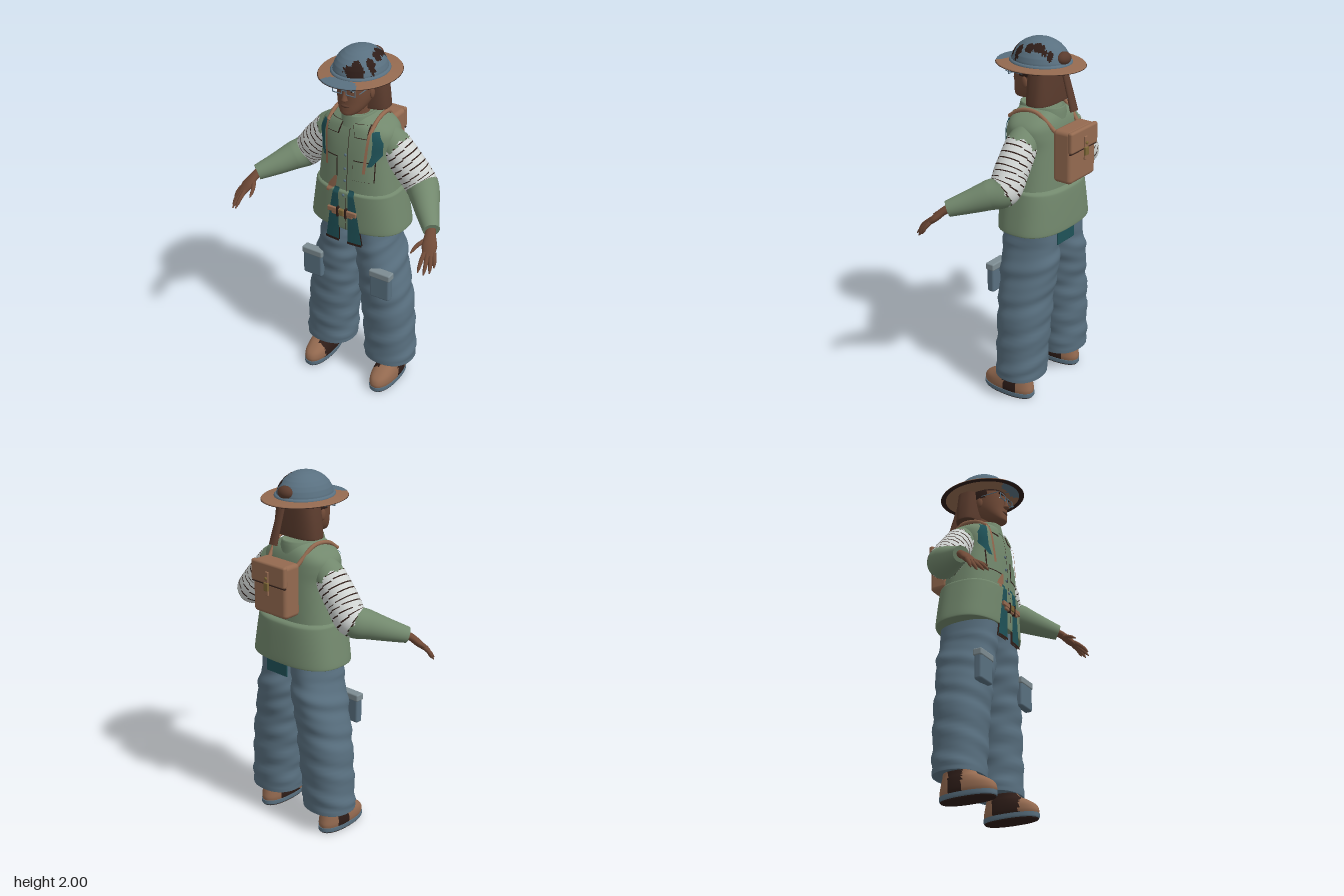
import * as THREE from 'three';
import { RoundedBoxGeometry } from 'three/addons/geometries/RoundedBoxGeometry.js';

const V = (x, y, z) => new THREE.Vector3(x, y, z);
const mat = (name, color) => {
  const m = new THREE.MeshStandardMaterial({ color });
  m.name = name;
  return m;
};
const green = mat('sage cloth', 0x72886d), blue = mat('slate blue', 0x597080), leather = mat('tan leather', 0x946a50),
  dark = mat('dark brown', 0x2e1d18), teal = mat('teal lining', 0x1f5258), white = mat('bandage white', 0xd2d6d4),
  skin = mat('skin', 0x704a37), hairMat = mat('hair brown', 0x5a3b2d), grey = mat('grey blue', 0x7d8c92), brass = mat('brass', 0x7d6636);

const spline = (a, b, c, d, t) => b + 0.5 * t * (c - a + t * (2 * a - 5 * b + 4 * c - d + t * (3 * (b - c) + d - a)));

// Refine a short list of keys into many rows
function refine(keys, steps, straight) {
  const rows = [], k = i => keys[Math.max(0, Math.min(keys.length - 1, i))];
  for (let i = 0; i < keys.length - 1; i++)
    for (let s = 0; s < steps; s++) {
      const t = s / steps;
      rows.push(k(i).map((v, c) => straight ? v + (k(i + 1)[c] - v) * t : spline(k(i - 1)[c], v, k(i + 1)[c], k(i + 2)[c], t)));
    }
  rows.push(k(keys.length - 1).slice());
  return rows;
}

// Horizontal rings from rows of [y, cx, cz, rx, rz], squared off by n
function rings(rows, n = 2, seg = 48, bump = () => 0) {
  const p = v => Math.sign(v) * Math.abs(v) ** (2 / n);
  return rows.map(([y, cx, cz, rx, rz]) => Array.from({ length: seg }, (_, i) => {
    const a = i / seg * Math.PI * 2, b = bump(a, y);
    return V(cx + (rx + b) * p(Math.cos(a)), y, cz + (rz + b) * p(Math.sin(a)));
  }));
}

// Rings swept along a path, with radii of [wide, thick]
function sweep(pts, radii, count, seg) {
  const curve = new THREE.CatmullRomCurve3(pts), out = [];
  for (let j = 0; j <= count; j++) {
    const t = j / count, c = curve.getPoint(t), T = curve.getTangent(t);
    const e1 = V().crossVectors(T, V(0, 1, 0)).normalize(), e2 = V().crossVectors(e1, T);
    const f = t * (radii.length - 1), i = Math.min(radii.length - 2, Math.floor(f));
    const r = radii[i].map((v, q) => v + (radii[i + 1][q] - v) * (f - i));
    out.push(Array.from({ length: seg }, (_, s) => {
      const a = s / seg * Math.PI * 2;
      return c.clone().addScaledVector(e1, r[0] * Math.cos(a)).addScaledVector(e2, r[1] * Math.sin(a));
    }));
  }
  return out;
}

// Skin closed rings; pick(point, row, column) chooses a material slot
function loft(rs, pick) {
  const n = rs[0].length, verts = rs.flat(), slots = [];
  const add = (s, ...t) => (slots[s] ??= []).push(...t);
  for (let j = 0; j < rs.length - 1; j++)
    for (let i = 0; i < n; i++) {
      const a = j * n + i, b = j * n + (i + 1) % n;
      const mid = verts[a].clone().add(verts[b + n]).multiplyScalar(0.5);
      add(pick ? pick(mid, j, i) : 0, a, a + n, b, b, a + n, b + n);
    }
  for (const last of [false, true]) {
    const ring = rs[last ? rs.length - 1 : 0], base = verts.length;
    const c = ring.reduce((s, p) => s.add(p), V()).divideScalar(n);
    verts.push(...ring, c);
    for (let i = 0; i < n; i++) {
      const a = base + i, b = base + (i + 1) % n;
      add(0, ...(last ? [a, base + n, b] : [a, b, base + n]));
    }
  }
  const g = new THREE.BufferGeometry().setFromPoints(verts);
  g.setIndex(slots.flat());
  let start = 0;
  if (pick) slots.forEach((s, i) => { g.addGroup(start, s.length, i); start += s.length; });
  g.computeVertexNormals();
  return g;
}

function mirrored(geo) {
  const g = geo.clone().scale(-1, 1, 1);
  const ix = g.index ? Array.from(g.index.array) : Array.from({ length: g.attributes.position.count }, (_, i) => i);
  for (let i = 0; i < ix.length; i += 3) [ix[i], ix[i + 1]] = [ix[i + 1], ix[i]];
  g.setIndex(ix);
  return g;
}

const torsoRows = refine([[1.18, 0, -.045, .235, .165], [1.35, 0, -.045, .215, .158], [1.45, 0, -.046, .205, .153], [1.52, 0, -.048, .213, .146],
  [1.57, 0, -.05, .205, .138], [1.61, 0, -.05, .16, .125], [1.645, 0, -.05, .08, .1]], 6);
const skirtRows = refine([[1.0, 0, -.057, .272, .18], [1.005, 0, -.057, .28, .187], [1.1, 0, -.055, .265, .186], [1.2, 0, -.052, .248, .183],
  [1.225, 0, -.05, .242, .178], [1.235, 0, -.05, .225, .16]], 5);

// Depth of the jacket's front at (x, y)
function frontZ(x, y) {
  let best = -.05;
  for (const rows of [torsoRows, skirtRows]) {
    const yy = rows === skirtRows ? Math.max(y, 1.005) : y;
    const i = rows.findIndex((r, q) => q > 0 && r[0] >= yy && rows[q - 1][0] <= yy);
    if (i < 0) continue;
    const t = (yy - rows[i - 1][0]) / (rows[i][0] - rows[i - 1][0] || 1);
    const [, , cz, rx, rz] = rows[i].map((v, c) => rows[i - 1][c] + (v - rows[i - 1][c]) * t);
    best = Math.max(best, cz + rz * Math.max(0, 1 - Math.abs(x / rx) ** 2.6) ** (1 / 2.6));
  }
  return best;
}

// Thin cloth strip lying on the jacket front: keys of [x, y, width]
function strip(keys, lift = .005) {
  const rows = refine(keys, 10, true), pos = [], ix = [], m = 6;
  rows.forEach(([x, y, w], j) => {
    for (let i = 0; i <= m; i++) {
      const px = x + w * (i / m - .5);
      pos.push(px, y, frontZ(px, y) + lift);
      if (j && i) { const d = j * (m + 1) + i, b = d - m - 1; ix.push(b - 1, d - 1, b, b, d - 1, d); }
    }
  });
  if (rows[0][1] < rows[rows.length - 1][1]) ix.reverse();
  const g = new THREE.BufferGeometry().setAttribute('position', new THREE.Float32BufferAttribute(pos, 3));
  g.setIndex(ix);
  g.computeVertexNormals();
  return g;
}
const box = (w, h, d, x, y, z, r = .01) => new RoundedBoxGeometry(w, h, d, 3, r).translate(x, y, z);
const ball = (x, y, z, a, b, c) => new THREE.SphereGeometry(1, 24, 16).scale(a, b, c).translate(x, y, z);

export function createModel() {
  const model = new THREE.Group();
  const put = (name, geo, m) => { const o = new THREE.Mesh(geo, m); o.name = name; model.add(o); return o; };
  const pair = (name, geo, m) => { put(name + 'Left', geo, m); put(name + 'Right', mirrored(geo), m); };

  // Jacket
  put('jacketBody', loft(rings(torsoRows, 2.6, 64)), green);
  put('jacketSkirt', loft(rings(skirtRows, 2.6, 64)), green);
  put('collar', loft(rings(refine([[1.59, 0, -.048, .1, .135], [1.63, 0, -.05, .09, .13], [1.655, 0, -.05, .082, .125], [1.65, 0, -.05, .07, .11]], 3, true), 2.3)), green);
  pair('chestPocketSeam', strip([[.105, 1.423, .116], [.105, 1.307, .116]], .003), dark);
  pair('chestPocket', strip([[.105, 1.42, .11], [.105, 1.31, .11]], .007), green);
  pair('lapelEdge', strip([[.075, 1.618, .09], [.085, 1.548, .075]], .005), dark);
  pair('lapel', strip([[.075, 1.618, .082], [.085, 1.554, .066]], .01), green);
  pair('tealHarness', strip([[.15, 1.59, .03], [.168, 1.53, .045], [.165, 1.46, .045], [.135, 1.4, .02]], .007), teal);
  pair('chestStrap', strip([[.13, 1.6, .014], [.122, 1.5, .013], [.112, 1.36, .016]], .013), leather);
  pair('shoulderStrap', new THREE.TubeGeometry(new THREE.CatmullRomCurve3([V(.13, 1.59, .07), V(.13, 1.635, .0), V(.125, 1.64, -.1), V(.1, 1.55, -.2)]), 24, .011, 8), leather);
  for (const y of [1.44, 1.36, 1.29, 1.21]) put('button', ball(0, y, frontZ(0, y) + .003, .008, .008, .005), blue);
  put('jacketPlacket', strip([[.014, 1.6, .003], [.014, 1.0, .003]], .003), dark);
  put('tornTag', strip([[-.05, 1.31, .015], [-.075, 1.25, .05], [-.1, 1.21, .015]], .01), leather);

  // Lining flaps and belt
  pair('liningFlap', strip([[.045, 1.245, .03], [.055, 1.12, .055], [.07, .92, .085]], .006), teal);
  pair('liningFlapBack', mirrored(strip([[.045, 1.24, .03], [.07, .92, .085]], -.004)).scale(1, 1, 1).rotateY(0), dark);
  pair('liningHem', strip([[.069, .932, .088], [.07, .918, .088]], .009), dark);
  put('rearLining', box(.15, .1, .008, .03, .97, -.222, .003), teal);
  put('belt', box(.18, .028, .016, 0, 1.115, .146, .005), leather);
  put('beltLower', box(.13, .02, .014, 0, 1.096, .144, .005), leather);
  pair('beltLoop', box(.012, .06, .02, .025, 1.11, .147, .004), dark);
  put('buckle', box(.03, .034, .02, 0, 1.112, .149, .004), brass);

  // Sleeves with wrapped bandages
  const rows = 130, seg = 48;
  const sleeve = sweep([V(.14, 1.535, -.06), V(.2, 1.475, -.06), V(.29, 1.37, -.065), V(.36, 1.285, -.065), V(.41, 1.26, -.01), V(.47, 1.227, .065), V(.545, 1.19, .155)],
    [[.07, .07], [.086, .088], [.09, .09], [.088, .088], [.078, .078], [.062, .062], [.043, .043]], rows, seg);
  const wrap = (p, j, i) => {
    const a = i / seg * Math.PI * 2, t = j / rows + .012 * Math.sin(a);
    const rag = .012 * Math.sin(5 * a) + .01 * Math.sin(11 * a + 1);
    if (t < .17 + rag || t > .51 + rag * .6) return 0;
    return (t * 1000) % 42 < 7 ? 2 : 1;
  };
  pair('sleeve', loft(sleeve, wrap), [green, white, dark]);

  // Hands
  pair('palm', loft(sweep([V(.535, 1.2, .14), V(.553, 1.17, .18), V(.57, 1.135, .215), V(.583, 1.1, .25)], [[.024, .022], [.03, .02], [.04, .02], [.03, .013]], 14, 20)), skin);
  for (const [k, m, t] of [[[.562, 1.115, .25], [.566, 1.08, .295], [.57, 1.04, .33]], [[.577, 1.11, .247], [.59, 1.07, .285], [.598, 1.03, .32]],
    [[.592, 1.11, .238], [.608, 1.07, .268], [.617, 1.03, .293]], [[.603, 1.115, .225], [.618, 1.085, .246], [.626, 1.05, .262]], [[.54, 1.155, .195], [.514, 1.135, .24], [.502, 1.11, .287]]])
    pair('finger', loft(sweep([V(...k), V(...m), V(...t)], [[.012, .012], [.012, .011], [.011, .01], [.009, .009], [.003, .003]], 12, 10)), skin);

  // Trousers with soft folds
  const legKeys = [[.15, .195, -.05, .115, .105], [.14, .195, -.05, .14, .128], [.15, .195, -.05, .145, .133], [.3, .187, -.053, .143, .136], [.5, .17, -.055, .144, .144],
    [.65, .15, -.055, .135, .15], [.78, .13, -.06, .124, .165], [.9, .11, -.056, .11, .164], [1.04, .1, -.055, .1, .165]];
  const folds = (a, y) => y < .17 || y > .92 ? 0 : .004 * Math.sin(y * 42 + 2 * Math.sin(a)) + .002 * Math.sin(y * 75 + 3 * a);
  pair('trouserLeg', loft(rings(refine(legKeys, 8), 2.25, 48, folds)), blue);
  pair('cargoPocket', box(.122, .15, .045, .218, .69, .098, .012), blue);
  pair('cargoPocketFlap', box(.13, .04, .052, .218, .765, .098, .008), grey);

  // Shoes
  const shoeKeys = [[.028, .222, .015, .064, .155], [.05, .222, .015, .068, .158], [.08, .222, .01, .067, .148], [.11, .222, -.01, .062, .122], [.135, .222, -.03, .056, .096], [.18, .222, -.045, .05, .08]];
  pair('shoe', loft(rings(refine(shoeKeys, 6), 2.3, 64), p => p.z > -.07 && (p.z < .012 || (p.x < .21 && p.z < .09)) ? 1 : 0), [leather, dark]);
  pair('shoeSole', loft(rings(refine([[.006, .222, .015, .066, .157], [.012, .222, .015, .069, .16], [.032, .222, .015, .069, .16]], 2, true), 2.3)), blue);
  pair('shoeTread', loft(rings([[0, .222, .015, .062, .152], [.008, .222, .015, .066, .157]], 2.3)), dark);

  // Head and face
  put('neck', new THREE.CylinderGeometry(.055, .062, .16, 24).translate(0, 1.66, -.02), skin);
  const headKeys = [[1.664, 0, .07, .022, .03], [1.675, 0, .055, .046, .06], [1.7, 0, .035, .068, .08], [1.74, 0, .012, .085, .1], [1.79, 0, 0, .093, .112], [1.84, 0, -.005, .094, .115], [1.89, 0, -.015, .088, .11]];
  put('head', loft(rings(refine(headKeys, 8), 2.2, 64), p => p.y > 1.845 || (p.z < .04 && p.y > 1.8) ? 1 : 0), [skin, dark]);
  put('nose', loft(rings(refine([[1.748, 0, .112, .01, .01], [1.756, 0, .115, .018, .02], [1.775, 0, .112, .012, .018], [1.815, 0, .105, .008, .01]], 5), 2, 20)), skin);
  put('lips', ball(0, 1.721, .108, .026, .009, .012), hairMat);
  pair('ear', ball(.093, 1.775, 0, .01, .03, .018), skin);
  pair('eye', ball(.036, 1.806, .1, .013, .006, .006), white);
  pair('iris', ball(.036, 1.806, .105, .005, .005, .003), dark);
  pair('eyebrow', box(.042, .008, .01, .036, 1.83, .106, .003), dark);
  for (const s of [-.015, .015]) pair('glassesRim', box(.056, .004, .005, .04, 1.806 + s, .121, .001), blue);
  for (const s of [-.027, .027]) pair('glassesSide', box(.004, .032, .005, .04 + s, 1.806, .121, .001), blue);
  pair('glassesTemple', box(.004, .004, .12, .092, 1.814, .06, .001), blue);
  put('glassesBridge', box(.026, .004, .005, 0, 1.812, .124, .001), blue);

  // Hair
  put('hairBob', loft(rings(refine([[1.675, 0, -.083, .142, .068], [1.68, 0, -.083, .146, .073], [1.77, 0, -.083, .136, .073], [1.87, 0, -.083, .118, .07]], 5), 2.8)), hairMat);
  put('bun', ball(0, 1.91, -.178, .047, .034, .034), hairMat);
  put('ponytail', loft(sweep([V(.01, 1.9, -.175), V(.012, 1.78, -.215), V(.015, 1.65, -.256)], [[.02, .012], [.024, .013], [.028, .015]], 12, 16)), hairMat);

  // Helmet with chipped paint
  const domeKeys = Array.from({ length: 9 }, (_, i) => {
    const a = i / 8 * Math.PI / 2;
    return [1.868 + .132 * Math.sin(a), 0, -.036, Math.max(.002, .139 * Math.cos(a)), Math.max(.002, .16 * Math.cos(a))];
  });
  const chips = [[.08, -.09, .022, .04], [.095, -.04, .02, .03], [.1, .03, .022, .022], [.06, .085, .035, .022], [.025, .108, .035, .012], [.07, -.145, .018, .014]];
  const chipped = p => chips.some(([x, z, a, b]) => ((p.x - x) / a) ** 2 + ((p.z - z) / b) ** 2 < 1 + .5 * Math.sin(p.x * 260 + p.y * 190) * Math.sin(p.z * 230)) ? 1 : 0;
  put('helmetDome', loft(rings(refine(domeKeys, 8, true), 2, 128), chipped), [blue, dark]);
  put('helmetRing', loft(rings(refine([[1.868, 0, -.036, .146, .168], [1.876, 0, -.036, .149, .171], [1.885, 0, -.036, .143, .165], [1.887, 0, -.036, .13, .152]], 3), 2, 64)), blue);
  const brimKeys = [[1.855, 0, -.036, .1, .12], [1.86, 0, -.036, .203, .243], [1.864, 0, -.036, .206, .246], [1.868, 0, -.036, .203, .243], [1.877, 0, -.036, .13, .15]];
  put('helmetBrim', loft(rings(refine(brimKeys, 8, true), 2, 128), p => p.z > .122 + .06 * (p.x / .11) ** 4 ? 1 : 0), [leather, blue]);
  put('brimEdge', loft(rings(refine([[1.859, 0, -.036, .202, .242], [1.8615, 0, -.036, .2075, .2475], [1.864, 0, -.036, .202, .242]], 2, true), 2, 96)), dark);

  // Backpack
  put('backpack', box(.235, .285, .11, 0, 1.425, -.25, .022), leather);
  put('backpackFlap', box(.24, .115, .03, 0, 1.512, -.302, .012), leather);
  put('backpackFlapShadow', box(.236, .006, .012, 0, 1.452, -.304, .002), dark);
  put('backpackStrap', box(.022, .13, .01, 0, 1.46, -.32, .004), leather);
  put('backpackClasp', box(.03, .045, .014, 0, 1.445, -.325, .004), brass);
  put('backpackStud', ball(0, 1.49, -.328, .009, .009, .006), brass);
  return model;
}
